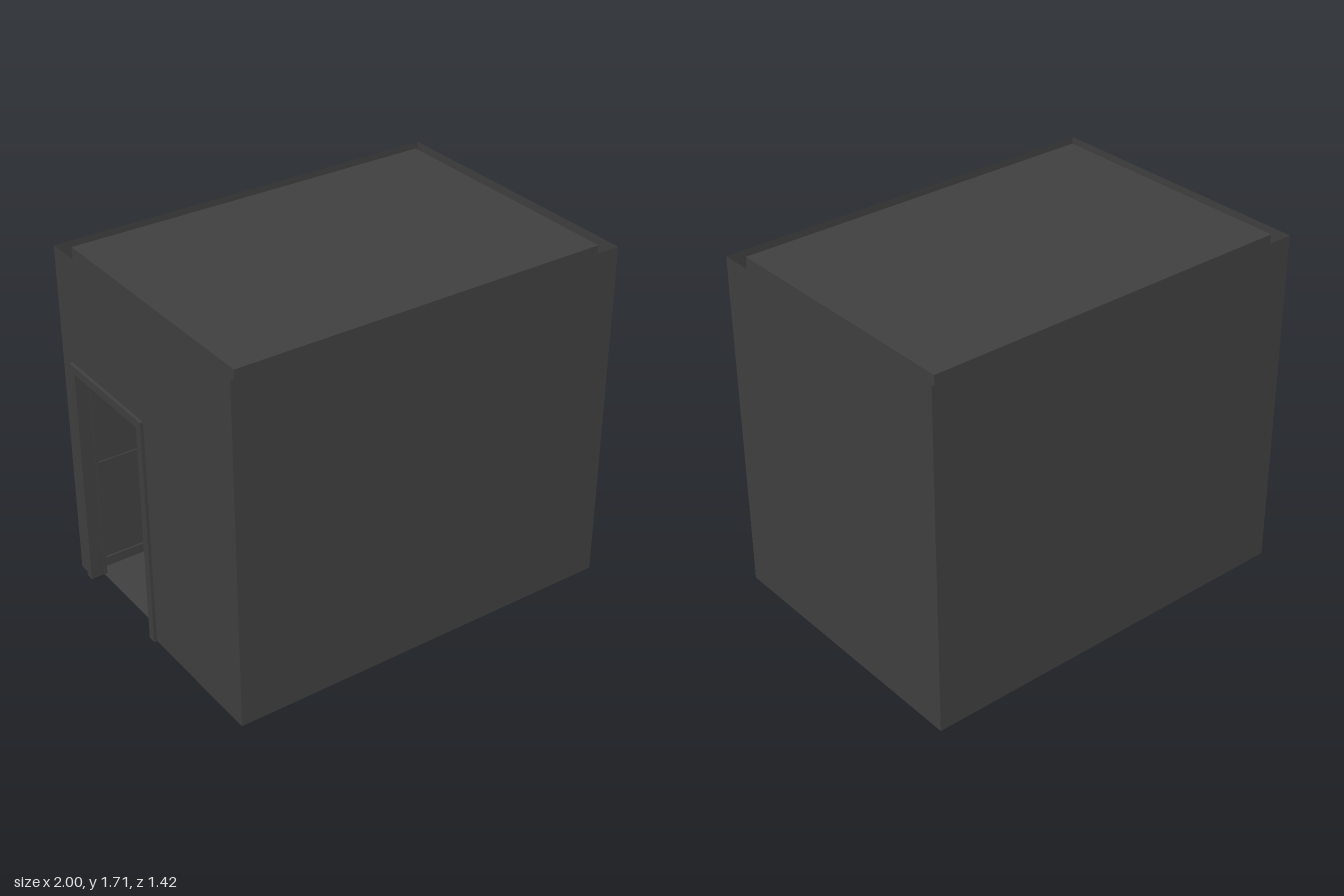
import * as THREE from 'three';

const H = 1.71;                                        // wall height
const OUT = { x0: -0.985, x1: 1, z: 0.71 };            // outer wall skin
const INN = { x0: -0.93, x1: 0.94, z: 0.65 };          // inner room skin
const DOOR = { z0: -0.59, z1: -0.04, top: 1.13 };      // clear doorway

const mat = new THREE.MeshStandardMaterial({ color: 0x404040, side: THREE.DoubleSide });

function add(group, name, geometry) {
  const mesh = new THREE.Mesh(geometry, mat);
  mesh.name = name;
  group.add(mesh);
  return mesh;
}

// Box given by its minimum and maximum corners
function block(group, name, x0, x1, y0, y1, z0, z1) {
  const m = add(group, name, new THREE.BoxGeometry(x1 - x0, y1 - y0, z1 - z0));
  m.position.set((x0 + x1) / 2, (y0 + y1) / 2, (z0 + z1) / 2);
  return m;
}

// Wall outline facing -x with a doorway cut up from the floor
function doorWall(halfDepth) {
  const s = new THREE.Shape();
  const pts = [
    [-halfDepth, 0], [DOOR.z0, 0], [DOOR.z0, DOOR.top], [DOOR.z1, DOOR.top],
    [DOOR.z1, 0], [halfDepth, 0], [halfDepth, H], [-halfDepth, H],
  ];
  s.setFromPoints(pts.map(([z, y]) => new THREE.Vector2(z, y)));
  return new THREE.ShapeGeometry(s).rotateY(-Math.PI / 2);
}

// Four thin walls, open between the two skins at top and bottom
function wallSkin(name, { x0, x1, z }, facing) {
  const g = new THREE.Group();
  g.name = name;
  const w = x1 - x0, cx = (x0 + x1) / 2;
  for (const side of [1, -1]) {
    const m = add(g, side > 0 ? 'frontWall' : 'backWall', new THREE.PlaneGeometry(w, H));
    m.position.set(cx, H / 2, side * z);
    m.rotation.y = side * facing > 0 ? 0 : Math.PI;
  }
  const plain = add(g, 'leftWall', new THREE.PlaneGeometry(2 * z, H));
  plain.position.set(x1, H / 2, 0);
  plain.rotation.y = facing * Math.PI / 2;
  const withDoor = add(g, 'doorWall', doorWall(z));
  withDoor.position.x = x0;
  return g;
}

// Strip running round the inside of the room, broken at the doorway
function roomTrim(name, y0, y1, t) {
  const g = new THREE.Group();
  g.name = name;
  const { x0, x1, z } = INN;
  block(g, name + 'Front', x0, x1, y0, y1, z - t, z);
  block(g, name + 'Back', x0, x1, y0, y1, -z, -z + t);
  block(g, name + 'Left', x1 - t, x1, y0, y1, -z, z);
  block(g, name + 'DoorSide', x0, x0 + t, y0, y1, DOOR.z1 + 0.04, z);
  return g;
}

// Two posts and a head around the doorway
function doorSurround(name, x0, x1, inset, width) {
  const g = new THREE.Group();
  g.name = name;
  const a = DOOR.z0 + inset, b = DOOR.z1 - inset, top = DOOR.top - inset;
  block(g, name + 'PostBack', x0, x1, 0, top, a - width, a);
  block(g, name + 'PostFront', x0, x1, 0, top, b, b + width);
  block(g, name + 'Head', x0, x1, top, top + width, a - width, b + width);
  return g;
}

export function createModel() {
  const room = new THREE.Group();
  room.name = 'room';

  // Walls
  room.add(wallSkin('outerWalls', OUT, 1), wallSkin('innerWalls', INN, -1));

  // Floor and ceiling span the inner skin only
  const w = INN.x1 - INN.x0, cx = (INN.x0 + INN.x1) / 2;
  for (const [name, y, turn] of [['floor', 0, -1], ['ceiling', H, 1]]) {
    const m = add(room, name, new THREE.PlaneGeometry(w, 2 * INN.z));
    m.rotation.x = turn * Math.PI / 2;
    m.position.set(cx, y, 0);
  }

  // Skirting and rail
  room.add(roomTrim('skirting', 0, 0.05, 0.008), roomTrim('wallRail', 0.575, 0.59, 0.006));

  // Doorway lining and casings
  room.add(
    doorSurround('doorLining', -0.99, -0.925, 0, 0.008),
    doorSurround('outerCasing', -1, -0.985, 0.003, 0.04),
    doorSurround('innerCasing', -0.93, -0.915, 0.003, 0.04),
  );
  return room;
}
